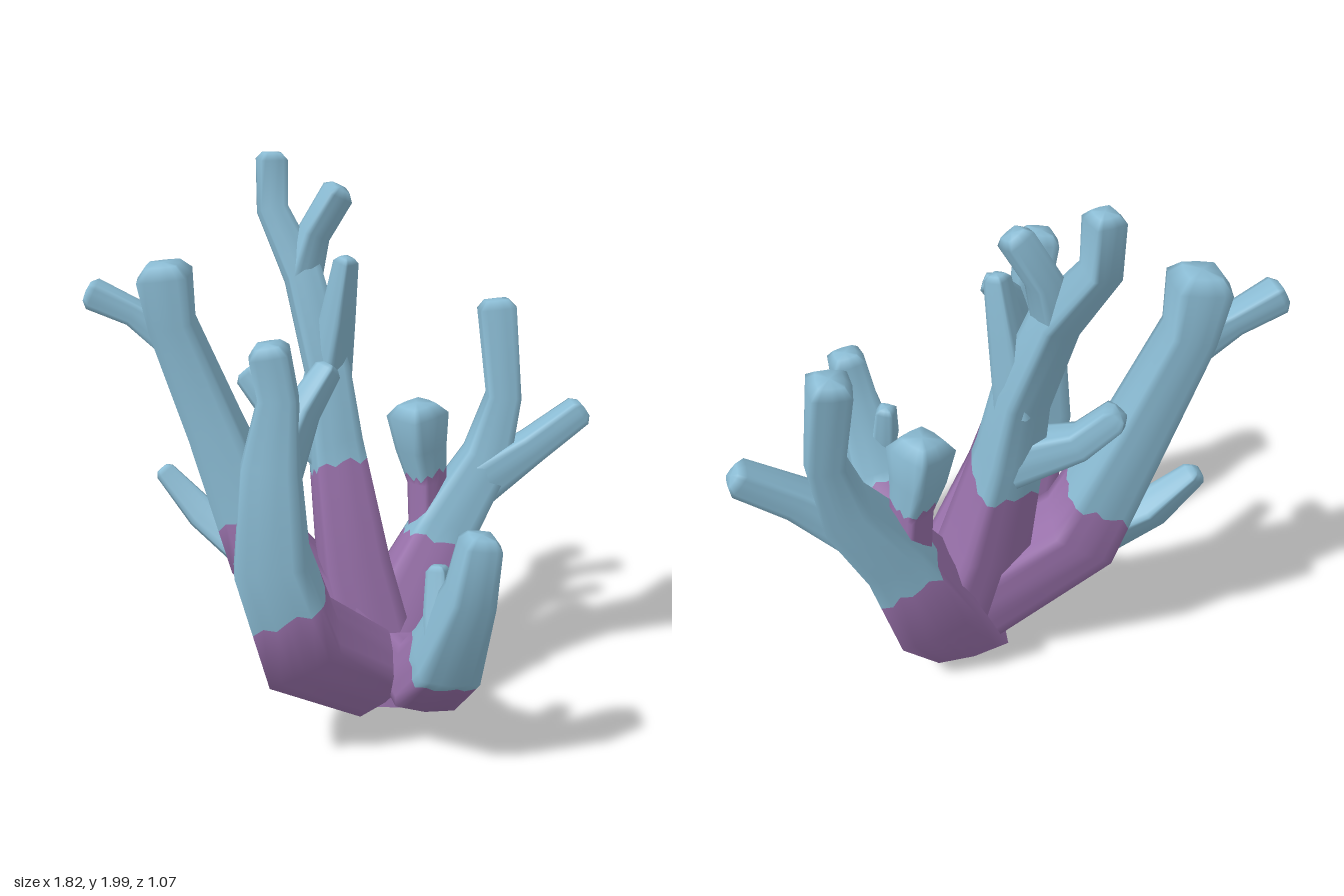
import * as THREE from 'three';

const blue = new THREE.MeshStandardMaterial({ color: 0x8abbd3 });
blue.name = 'pale blue coral';
const purple = new THREE.MeshStandardMaterial({ color: 0x9a72ac });
purple.name = 'purple coral';

const COLS = 24;

// Softened square outline: eight corners, with straight edges between them
function outline(col) {
  const corner = (k) => {
    const a = (k % 8) * Math.PI / 4, d = k % 2 ? 1.27 : 1;
    return new THREE.Vector2(Math.cos(a) * d, Math.sin(a) * d);
  };
  const k = Math.floor(col / 3);
  return corner(k).lerp(corner(k + 1), (col % 3) / 3);
}

// Tapered straight-sided limb through points [x, y, z, radius].
// bound: point index (with fraction) where purple turns to blue; tilt: slope of that border in z;
// twist: turn of the square section; rootDir: direction the root cut faces away from
function limb(name, points, { bound = 0, tilt = 0, twist = 0, rootDir } = {}) {
  const centers = points.map((p) => new THREE.Vector3(p[0], p[1], p[2]));
  const last = points.length - 1;
  const step = centers.slice(1).map((p, i) => p.clone().sub(centers[i]).normalize());
  const tangents = centers.map((p, i) => (i === 0 ? step[0] : i === last ? step[last - 1]
    : step[i].clone().add(step[i - 1]).normalize()));
  if (rootDir) tangents[0] = new THREE.Vector3(...rootDir).normalize();

  const section = (center, tangent, u, radius) => {
    const v = new THREE.Vector3().crossVectors(tangent, u);
    return Array.from({ length: COLS }, (_, c) => {
      const o = outline(c);
      return center.clone().addScaledVector(u, o.x * radius).addScaledVector(v, o.y * radius);
    });
  };

  // Carry one side direction from the tip down to the root so the limb never twists
  const rings = [];
  let side = new THREE.Vector3(0, 0, 1);
  for (let i = last; i >= 0; i--) {
    const t = tangents[i], r = points[i][3];
    side = side.clone().addScaledVector(t, -t.dot(side)).normalize();
    if (i === last) {
      side.applyAxisAngle(t, twist);
      rings[last + 1] = section(centers[i].clone().addScaledVector(t, r * 0.43), t, side, r * 0.62);
    }
    rings[i] = section(centers[i], t, side, r);
  }

  // Ragged ring on the colour border
  let border = 0;
  if (bound) {
    const i = Math.floor(bound), f = bound - i, length = centers[i].distanceTo(centers[i + 1]);
    const mid = centers[i].clone().lerp(centers[i + 1], f);
    const ragged = rings[i].map((p, c) => {
      const shift = 0.014 * Math.sin(c * 2.4) + 0.012 * Math.sin(c * Math.PI / 6 + 1);
      const z = p.z + (rings[i + 1][c].z - p.z) * f - mid.z;
      return p.clone().lerp(rings[i + 1][c], THREE.MathUtils.clamp(f + (shift + tilt * z) / length, 0.04, 0.96));
    });
    border = i + 1;
    rings.splice(border, 0, ragged);
  }

  // Walls, smooth tip cap and flat root cap
  const purpleFaces = [], blueFaces = [], rootFaces = bound ? purpleFaces : blueFaces;
  const tip = centers[last].clone().addScaledVector(tangents[last], points[last][3] * 0.5);
  const verts = [...rings.flat(), tip, ...rings[0], centers[0]];
  const rows = rings.length - 1, top = rings.length * COLS;
  for (let c = 0; c < COLS; c++) {
    const d = (c + 1) % COLS;
    for (let r = 0; r < rows; r++) {
      const a = r * COLS + c, b = r * COLS + d;
      (r < border ? purpleFaces : blueFaces).push(a, b, b + COLS, a, b + COLS, a + COLS);
    }
    blueFaces.push(rows * COLS + c, rows * COLS + d, top);
    rootFaces.push(top + 1 + d, top + 1 + c, top + 1 + COLS);
  }

  const geo = new THREE.BufferGeometry().setFromPoints(verts);
  geo.setIndex([...purpleFaces, ...blueFaces]);
  geo.addGroup(0, purpleFaces.length, 0);
  geo.addGroup(purpleFaces.length, blueFaces.length, 1);
  geo.computeVertexNormals();
  const mesh = new THREE.Mesh(geo, [purple, blue]);
  mesh.name = name;
  return mesh;
}

export function createModel() {
  const coral = new THREE.Group();
  coral.name = 'coral';

  // Thick limbs spreading from the shared root
  coral.add(
    limb('rightBackLimb', [[0.1, 0.22, -0.15, 0.14], [-0.28, 0.58, -0.225, 0.135], [-0.455, 1.04, -0.26, 0.1],
      [-0.6, 1.42, -0.27, 0.083], [-0.62, 1.6, -0.265, 0.097]], { bound: 1.33 }),
    limb('rightFrontLimb', [[0.14, 0.2, 0.03, 0.13], [-0.11, 0.44, 0.26, 0.155], [-0.2, 0.77, 0.3, 0.13],
      [-0.2, 1.1, 0.28, 0.1], [-0.175, 1.33, 0.26, 0.068], [-0.2, 1.48, 0.27, 0.068]], { bound: 1.5 }),
    limb('leftFrontLimb', [[0.265, 0.215, -0.06, 0.1], [0.33, 0.265, 0.17, 0.12], [0.395, 0.45, 0.35, 0.115],
      [0.46, 0.73, 0.45, 0.08], [0.485, 0.91, 0.45, 0.067]], { bound: 1.8, twist: 0.2 }),
    limb('leftBackLimb', [[0.125, 0.04, -0.125, 0.15], [0.265, 0.34, -0.265, 0.165], [0.4, 0.66, -0.33, 0.115],
      [0.54, 0.9, -0.385, 0.09], [0.595, 1.13, -0.41, 0.065], [0.56, 1.45, -0.45, 0.071]],
    { bound: 1.72, tilt: 0.2, twist: 0.1, rootDir: [0.12, 1, -0.12] }),
    limb('tallBackLimb', [[0.14, 0.2, -0.17, 0.14], [0.05, 0.55, -0.2, 0.13], [-0.02, 1.0, -0.275, 0.095],
      [-0.05, 1.25, -0.31, 0.08], [-0.14, 1.58, -0.38, 0.068], [-0.255, 1.8, -0.465, 0.055],
      [-0.255, 1.975, -0.475, 0.054]], { bound: 1.75, tilt: 0.35, twist: 0.3 }),
    limb('shortBackLimb', [[0.34, 0.45, -0.3, 0.06], [0.32, 0.82, -0.325, 0.058], [0.295, 0.95, -0.33, 0.075],
      [0.28, 1.08, -0.325, 0.09]], { bound: 1.25, twist: 0.7 })
  );

  // Slim side twigs
  const twigs = [
    [[-0.58, 1.36, -0.27, 0.07], [-0.74, 1.46, -0.28, 0.045], [-0.88, 1.53, -0.265, 0.052]],
    [[-0.36, 0.59, -0.24, 0.085], [-0.52, 0.69, -0.28, 0.06], [-0.655, 0.845, -0.3, 0.038]],
    [[-0.18, 1.08, 0.27, 0.07], [-0.1, 1.27, 0.215, 0.05], [-0.02, 1.39, 0.15, 0.038]],
    [[0.4, 0.48, 0.4, 0.07], [0.36, 0.62, 0.345, 0.045], [0.355, 0.755, 0.32, 0.035]],
    [[0.5, 0.8, -0.36, 0.085], [0.7, 0.95, -0.36, 0.06], [0.87, 1.08, -0.39, 0.052]],
    [[-0.14, 1.58, -0.38, 0.06], [-0.1, 1.73, -0.39, 0.05], [-0.015, 1.875, -0.38, 0.05]],
    [[-0.05, 1.2, -0.31, 0.07], [-0.01, 1.45, -0.28, 0.05], [0.02, 1.66, -0.25, 0.035]],
    [[-0.03, 0.97, -0.28, 0.085], [-0.24, 1.08, -0.36, 0.055], [-0.34, 1.2, -0.4, 0.048]]
  ];
  twigs.forEach((points, i) => coral.add(limb('twig' + (i + 1), points, { twist: i * 0.4 })));
  return coral;
}
